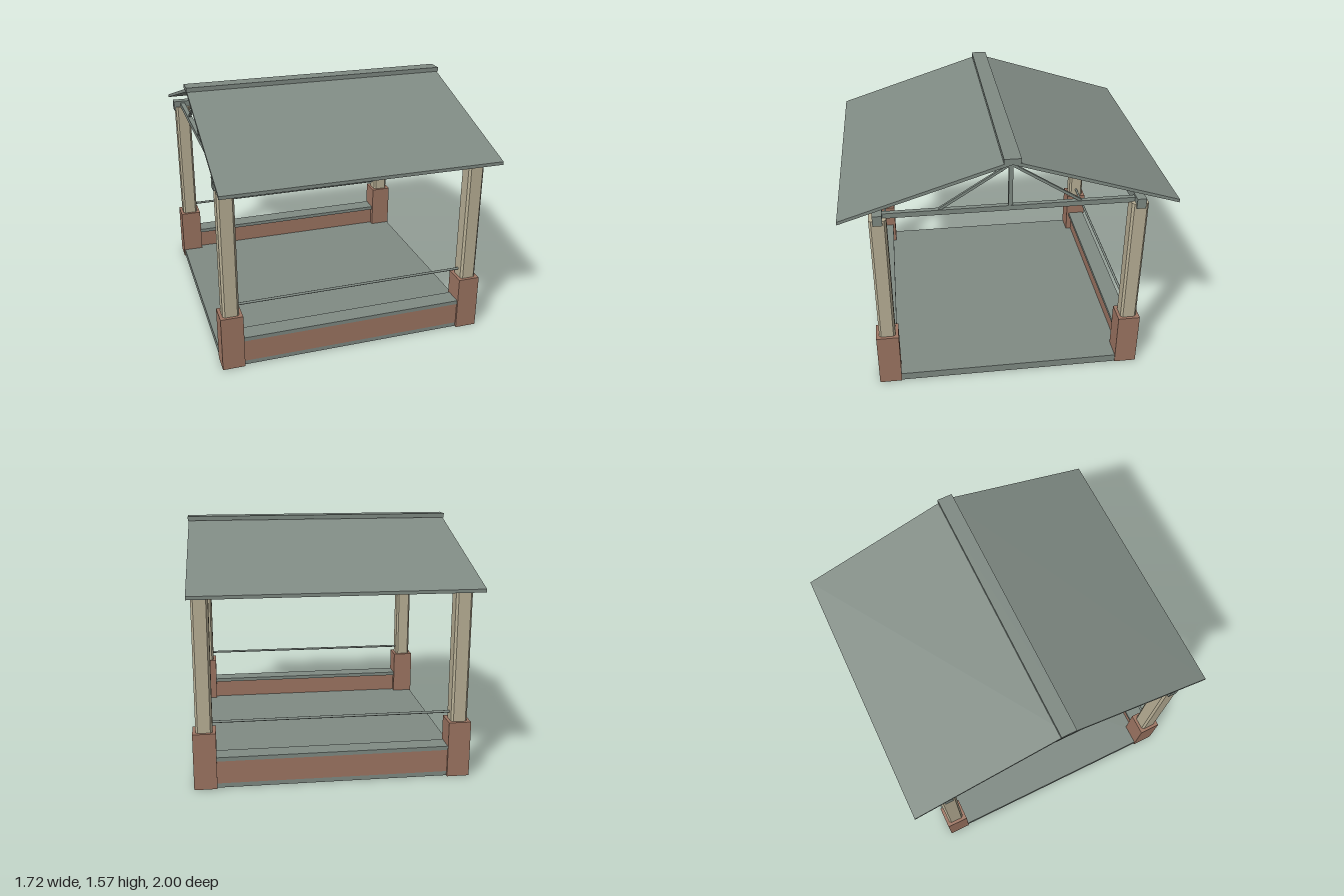
import * as THREE from 'three';

const PX = 0.787, PZ = 0.773; // post centres

export function createModel() {
  const group = new THREE.Group();
  const paint = (name, color) => {
    const m = new THREE.MeshStandardMaterial({ color });
    m.name = name;
    return m;
  };
  const metal = paint('grey green', 0x808b84);
  const brick = paint('brick', 0x9e7663);
  const cream = paint('cream', 0xbab197);

  const add = (name, geometry, material, x = 0, y = 0, z = 0) => {
    const mesh = new THREE.Mesh(geometry, material);
    mesh.name = name;
    mesh.position.set(x, y, z);
    group.add(mesh);
    return mesh;
  };
  // Box given by its size, bottom height and centre
  const box = (name, material, w, h, d, x, y0, z) =>
    add(name, new THREE.BoxGeometry(w, h, d), material, x, y0 + h / 2, z);

  // Square bar with chamfered corners, standing along y
  const chamferedBar = (half, c, height) => {
    const s = new THREE.Shape();
    const i = half - c;
    s.setFromPoints([[half, -i], [half, i], [i, half], [-i, half], [-half, i], [-half, -i], [-i, -half], [i, -half]]
      .map(([x, y]) => new THREE.Vector2(x, y)));
    return new THREE.ExtrudeGeometry(s, { depth: height, bevelEnabled: false }).rotateX(-Math.PI / 2);
  };

  // Floor slab
  box('floor', metal, 1.70, 0.05, 1.65, 0, 0, 0);

  // Posts on brick piers
  for (const sx of [-1, 1]) for (const sz of [-1, 1]) {
    box('pier', brick, 0.14, 0.357, 0.14, sx * PX, 0, sz * PZ);
    add('post', chamferedBar(0.051, 0.013, 0.85), cream, sx * PX, 0.355, sz * PZ);
  }

  // Low walls, rails and eave beams on front and back
  for (const s of [-1, 1]) {
    box('lowWall', brick, 1.44, 0.145, 0.09, 0, 0.03, s * 0.785);
    box('wallCap', metal, 1.44, 0.025, 0.115, 0, 0.175, s * 0.777);
    add('rail', new THREE.CylinderGeometry(0.008, 0.008, 1.49, 12).rotateZ(Math.PI / 2), metal, 0, 0.408, s * PZ);
    box('eaveBeam', metal, 1.70, 0.065, 0.056, 0, 1.18, s * PZ);
  }

  // Three roof trusses
  for (const x of [-PX, 0, PX]) {
    box('tieBeam', metal, 0.03, 0.032, 1.5, x, 1.2, 0);
    box('kingPost', metal, 0.025, 0.295, 0.025, x, 1.23, 0);
    for (const s of [-1, 1]) {
      const dz = 0.42, dy = 0.27;
      const strut = add('strut', new THREE.BoxGeometry(0.016, 0.016, Math.hypot(dz, dy)), metal, x, 1.364, s * dz / 2);
      strut.rotation.x = s * Math.atan2(dy, dz);
    }
  }

  // Roof slopes, cut vertically where they meet at the ridge
  for (const s of [-1, 1]) {
    const profile = new THREE.Shape([[0, 1.528], [1, 1.21], [1, 1.23], [0, 1.55]]
      .map(([z, y]) => new THREE.Vector2(-s * z, y)));
    const slope = new THREE.ExtrudeGeometry(profile, { depth: 1.714, bevelEnabled: false })
      .translate(0, 0, -0.857).rotateY(Math.PI / 2);
    add('roofSlope', slope, metal);
  }
  box('ridgeCap', metal, 1.724, 0.028, 0.1, 0, 1.539, 0);

  // Ceiling light: housing and tube
  box('lightHousing', metal, 0.54, 0.018, 0.05, 0, 1.166, 0);
  add('lightTube', new THREE.CylinderGeometry(0.009, 0.009, 0.49, 12).rotateZ(Math.PI / 2), metal, 0, 1.16, 0);

  return group;
}
